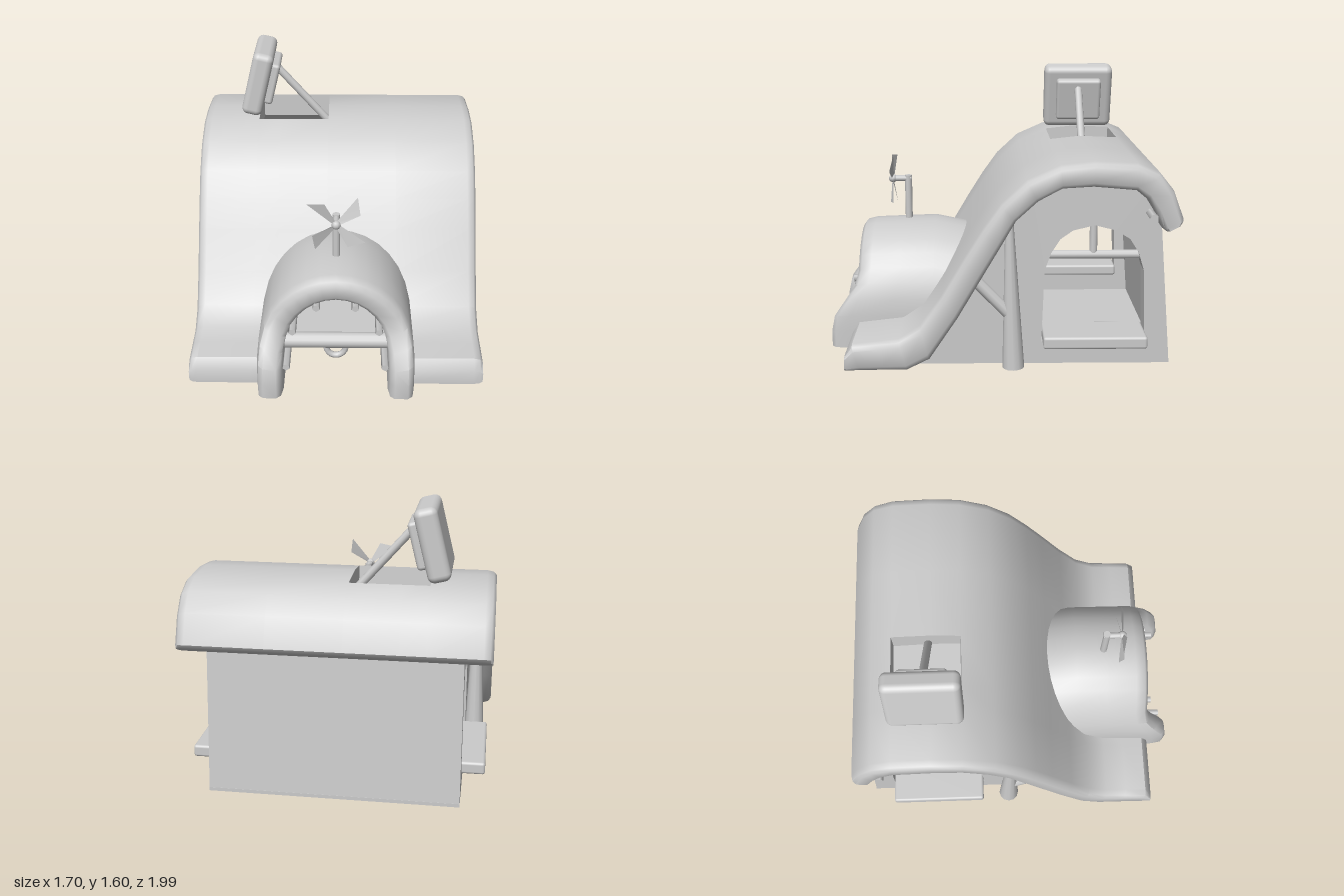
import * as THREE from 'three';
import { toCreasedNormals } from 'three/addons/utils/BufferGeometryUtils.js';
import { RoundedBoxGeometry } from 'three/addons/geometries/RoundedBoxGeometry.js';

const mat = new THREE.MeshStandardMaterial({ color: 0xcccccc });
const thinMat = new THREE.MeshStandardMaterial({ color: 0xcccccc, side: THREE.DoubleSide });
const V = (x, y, z) => new THREE.Vector3(x, y, z);

function add(parent, name, geo, material = mat) {
  const m = new THREE.Mesh(geo, material);
  m.name = name;
  parent.add(m);
  return m;
}

// Thick curved sheet on a grid: point(i, j, side) with side 0 outer, 1 inner; keep(i, j) leaves holes
function sheet(rows, cols, point, keep = () => true) {
  const pos = [];
  const quad = (...q) => [0, 1, 2, 0, 2, 3].forEach(k => pos.push(...q[k]));
  const solid = (i, j) => i >= 0 && j >= 0 && i < rows - 1 && j < cols - 1 && keep(i, j);
  for (let i = 0; i < rows - 1; i++) for (let j = 0; j < cols - 1; j++) {
    if (!solid(i, j)) continue;
    const corners = [[i, j], [i, j + 1], [i + 1, j + 1], [i + 1, j]];
    const o = corners.map(c => point(...c, 0)), n = corners.map(c => point(...c, 1));
    quad(...o);
    quad(n[3], n[2], n[1], n[0]);
    [[i - 1, j], [i, j + 1], [i + 1, j], [i, j - 1]].forEach(([a, b], k) => {
      const l = (k + 1) % 4;
      if (!solid(a, b)) quad(o[l], o[k], n[k], n[l]);
    });
  }
  const g = new THREE.BufferGeometry();
  g.setAttribute('position', new THREE.Float32BufferAttribute(pos, 3));
  return toCreasedNormals(g, 0.8);
}

// Side profile of [z, y] points extruded along x
function extrudeX(pts, x0, x1, hole) {
  const toV = p => new THREE.Vector2(-p[0], p[1]);
  const s = new THREE.Shape(pts.map(toV));
  if (hole) s.holes.push(new THREE.Path(hole.map(toV)));
  const g = new THREE.ExtrudeGeometry(s, { depth: x1 - x0, bevelEnabled: false });
  return g.rotateY(Math.PI / 2).translate(x0, 0, 0);
}

// Round bar between two points
function bar(a, b, r0, r1 = r0, sides = 10) {
  const d = b.clone().sub(a);
  const g = new THREE.CylinderGeometry(r1, r0, d.length(), sides);
  g.applyQuaternion(new THREE.Quaternion().setFromUnitVectors(V(0, 1, 0), d.normalize()));
  const c = a.clone().add(b).multiplyScalar(0.5);
  return g.translate(c.x, c.y, c.z);
}

// Roof section from front foot to rear eave: outer z, y, inner z, y
const ROOF = [
  [0.87, 0.10, 0.87, 0.01], [0.83, 0.16, 0.78, 0.01], [0.70, 0.175, 0.65, 0.01], [0.57, 0.19, 0.52, 0.01],
  [0.45, 0.27, 0.40, 0.07], [0.33, 0.44, 0.24, 0.31], [0.20, 0.66, 0.10, 0.55], [0.10, 0.82, 0, 0.72],
  [0, 0.96, -0.08, 0.86], [-0.14, 1.09, -0.20, 0.97], [-0.32, 1.17, -0.33, 1.04], [-0.50, 1.19, -0.50, 1.05],
  [-0.73, 1.18, -0.73, 1.03], [-0.85, 1.13, -0.79, 0.98], [-0.93, 1.03, -0.84, 0.90],
  [-0.99, 0.87, -0.875, 0.82], [-0.975, 0.845, -0.895, 0.805],
];

function roof() {
  const xs = [-0.85, -0.835, -0.8, -0.5, -0.36, -0.06, 0.36, 0.8, 0.835, 0.85];
  const full = [0.6, 0.87, 1, 1, 1, 1, 1, 1, 0.87, 0.6];
  const point = (i, j, side) => {
    const [oz, oy, nz, ny] = ROOF[i];
    const t = 0.5 + (side ? 0.5 : -0.5) * full[j];
    return [xs[j], oy + (ny - oy) * t, oz + (nz - oz) * t];
  };
  // leave out the hatch and the doorway
  const keep = (i, j) => !((i === 10 || i === 11) && (j === 3 || j === 4)) && !(i < 5 && (j === 4 || j === 5));
  return sheet(ROOF.length, xs.length, point, keep);
}

function porch() {
  const t = [0, 0.3, 0.6, 0.88, 0.97, 1];
  const full = [1, 1, 1, 1, 0.85, 0.5];
  const tall = [0.95, 1.01, 1, 0.99, 0.985, 0.98];
  const N = 16;
  const arch = (i, w, base, rise) => {
    if (i < 2) return [-w, base * i / 2];
    if (i > N + 2) return [w, base * (N + 4 - i) / 2];
    const a = Math.PI * (1 - (i - 2) / N);
    return [w * Math.cos(a), base + rise * Math.sin(a)];
  };
  return sheet(N + 5, t.length, (i, j, side) => {
    const o = arch(i, 0.45, 0.2, 0.49), n = arch(i, 0.3, 0.17, 0.38);
    const k = 0.5 + (side ? 0.5 : -0.5) * full[j];
    const front = 0.84 + 0.16 * THREE.MathUtils.smoothstep(0.42 - (o[1] + n[1]) / 2, 0, 0.3);
    return [o[0] + (n[0] - o[0]) * k, (o[1] + (n[1] - o[1]) * k) * tall[j], 0.2 + (front - 0.2) * t[j]];
  });
}

export function createModel() {
  const house = new THREE.Group();
  house.name = 'house';
  add(house, 'roof', roof());
  add(house, 'porch', porch());

  // Body: floor, sloping back wall, side walls with arched windows
  const floor = new THREE.BoxGeometry(1.4, 0.02, 1.46).translate(0, 0.01, -0.23);
  add(house, 'floor', floor);
  add(house, 'backWall', extrudeX([[-0.96, 0], [-0.885, 0.9], [-0.83, 0.9], [-0.9, 0]], -0.7, 0.7));
  const under = ROOF.slice(3, 15).reverse().map(([a, b, c, d]) => [(a + c) / 2, Math.max(0, b + (d - b) * 0.7)]);
  const wall = [[-0.96, 0], [-0.885, 0.83], ...under, [0.5, 0]];
  const opening = [[-0.23, 0.13], [-0.245, 0.55], [-0.28, 0.65], [-0.33, 0.73], [-0.4, 0.78], [-0.52, 0.81],
    [-0.64, 0.78], [-0.72, 0.73], [-0.77, 0.65], [-0.8, 0.55], [-0.815, 0.13]];
  for (const s of [1, -1]) {
    const side = new THREE.Group();
    side.name = s > 0 ? 'leftSide' : 'rightSide';
    house.add(side);
    add(side, 'sideWall', extrudeX(wall, s > 0 ? 0.58 : -0.7, s > 0 ? 0.7 : -0.58, opening));
    add(side, 'windowSill', new RoundedBoxGeometry(0.27, 0.07, 0.58, 2, 0.015).translate(s * 0.695, 0.165, -0.525));
    add(side, 'windowCrossbar', bar(V(s * 0.65, 0.63, -0.24), V(s * 0.65, 0.63, -0.8), 0.025));
    add(side, 'windowUpright', bar(V(s * 0.65, 0.63, -0.52), V(s * 0.65, 0.83, -0.52), 0.022));
    add(side, 'pillar', bar(V(s * 0.75, 0, -0.07), V(s * 0.75, 0.86, -0.045), 0.062, 0.022, 12));
    add(side, 'pillarBrace', bar(V(s * 0.75, 0.3, -0.06), V(s * 0.75, 0.57, 0.2), 0.035));
    add(side, 'eaveBeam', bar(V(s * 0.6, 0.88, -0.825), V(s * 0.84, 0.88, -0.825), 0.025, 0.025, 5));
    // Pegs inside the porch arch
    for (const [x, y, z] of [[0.28, 0.18, 0.95], [0.245, 0.37, 0.88], [0.11, 0.51, 0.85]])
      add(side, 'porchPeg', bar(V(s * x, y, z - 0.25), V(s * x, y, z), 0.022, 0.022, 5));
  }

  // Porch log with hanging ring
  add(house, 'porchLog', bar(V(-0.32, 0.265, 0.8), V(0.32, 0.265, 0.8), 0.046, 0.046, 12));
  add(house, 'hangingRing', new THREE.TorusGeometry(0.055, 0.018, 8, 18).translate(0, 0.2, 0.78));

  // Raised hatch lid and its prop
  const lid = new THREE.Group();
  lid.name = 'hatchLid';
  lid.position.set(-0.505, 1.395, -0.525);
  lid.rotation.z = -0.24;
  add(lid, 'lidPanel', new RoundedBoxGeometry(0.13, 0.41, 0.44, 3, 0.04));
  add(lid, 'lidInset', new RoundedBoxGeometry(0.08, 0.27, 0.285, 2, 0.02).translate(0.075, 0, 0));
  house.add(lid);
  add(house, 'lidProp', bar(V(-0.4, 1.46, -0.52), V(0.05, 0.95, -0.52), 0.024));

  // Windmill on the porch
  const mill = new THREE.Group();
  mill.name = 'windmill';
  mill.position.set(0, 0.937, 0.56);
  add(mill, 'post', bar(V(0, -0.3, 0), V(0, 0.02, 0), 0.022));
  add(mill, 'axle', bar(V(0, 0, -0.02), V(0, 0, 0.09), 0.018));
  add(mill, 'hub', new THREE.SphereGeometry(0.026, 10, 8).translate(0, 0, 0.095));
  for (let k = 0; k < 4; k++) {
    const g = new THREE.BufferGeometry();
    g.setAttribute('position', new THREE.Float32BufferAttribute(
      [0, 0.015, 0.09, 0.015, 0, 0.1, 0.135, 0.065, 0.105, 0.12, 0.165, 0.08], 3));
    g.setIndex([0, 1, 2, 0, 2, 3]);
    g.computeVertexNormals();
    add(mill, 'blade', g, thinMat).rotation.z = k * Math.PI / 2;
  }
  house.add(mill);
  return house;
}
